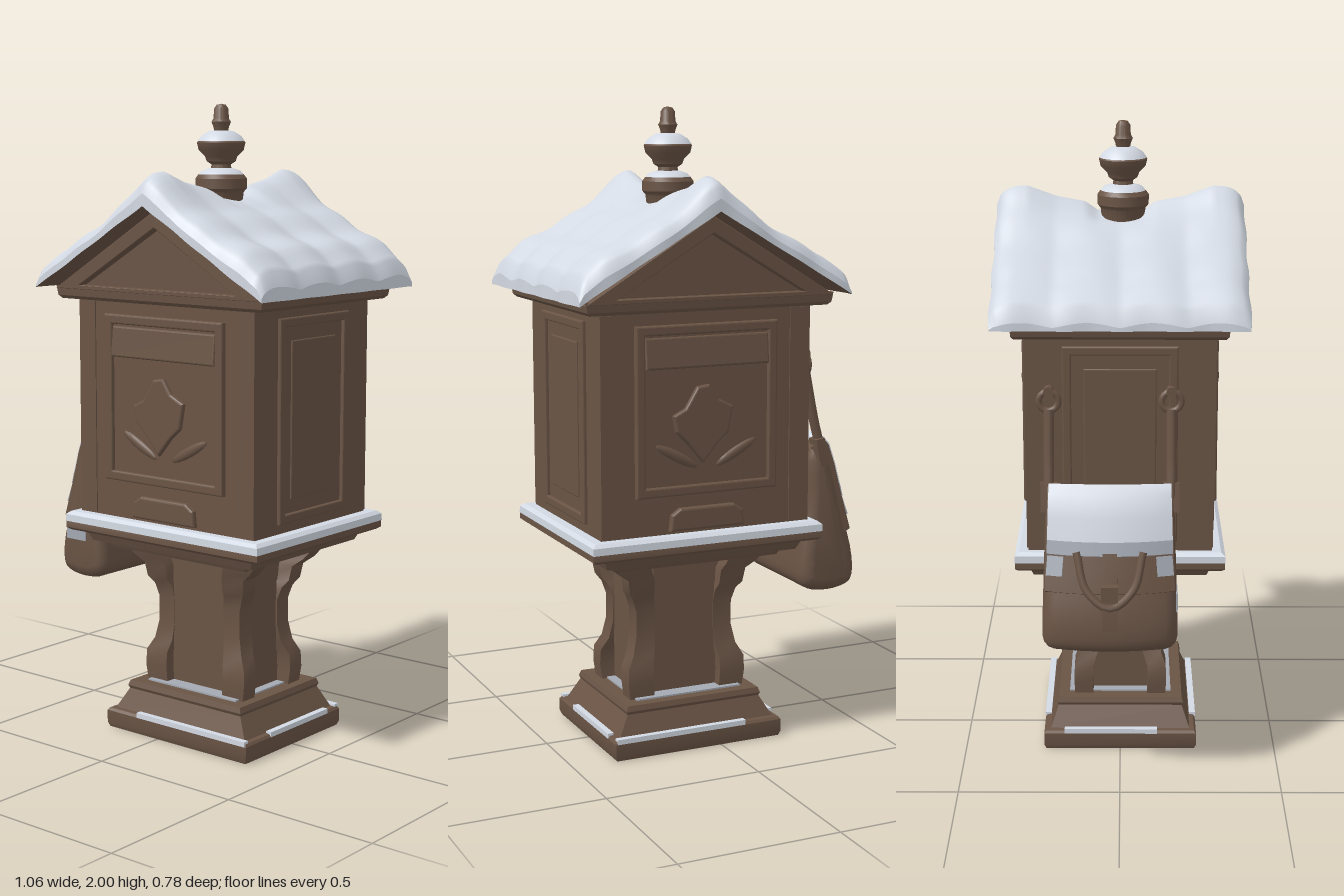
import * as THREE from 'three';
import { toCreasedNormals } from 'three/addons/utils/BufferGeometryUtils.js';

const mat = (name, color) => new THREE.MeshStandardMaterial({ name, color });
const V2 = (p) => new THREE.Vector2(...p);

// Piecewise-linear lookup
function lookup(xs, ys, x) {
  let i = 1;
  while (i < xs.length - 1 && x > xs[i]) i++;
  const t = Math.min(1, (x - xs[i - 1]) / (xs[i] - xs[i - 1]));
  return ys[i - 1] + t * (ys[i] - ys[i - 1]);
}

// Loft through rectangles given as [y, halfX, halfZ, centreX, centreZ]
function rectLoft(sections) {
  const pos = [], idx = [];
  const corners = [[1, 1], [1, -1], [-1, -1], [-1, 1]];
  sections.forEach(([y, hx, hz, cx = 0, cz = 0], s) => {
    corners.forEach(([sx, sz], k) => {
      pos.push(cx + sx * hx, y, cz + sz * hz);
      if (s === 0) return;
      const a = (s - 1) * 4 + k, b = (s - 1) * 4 + ((k + 1) % 4);
      idx.push(a, b, b + 4, a, b + 4, a + 4);
    });
  });
  const g = new THREE.BufferGeometry();
  g.setAttribute('position', new THREE.Float32BufferAttribute(pos, 3));
  g.setIndex(idx);
  return toCreasedNormals(g, 0.5);
}

function extrude(points, depth, bevel = 0, hole = null, steps = 1) {
  const shape = new THREE.Shape(points.map(V2));
  if (hole) shape.holes.push(new THREE.Path(hole.map(V2)));
  return new THREE.ExtrudeGeometry(shape, {
    depth, steps, bevelEnabled: bevel > 0, bevelSize: bevel, bevelThickness: bevel, bevelOffset: -bevel, bevelSegments: 3,
  });
}

// Centre a satchel piece on z, bow its outer face and narrow it upwards
function bow(geo, depth) {
  geo.translate(0, 0, -depth / 2);
  const p = geo.attributes.position;
  for (let i = 0; i < p.count; i++) {
    const x = p.getX(i), z = p.getZ(i);
    p.setX(i, x + 0.8 * z * z * THREE.MathUtils.clamp((-0.33 - x) / 0.15, 0, 1));
    p.setZ(i, z * (1.02 - 0.15 * Math.max(0, p.getY(i) - 0.55)));
  }
  return toCreasedNormals(geo, 0.7);
}

const rect = (w, h) => [[-w / 2, -h / 2], [w / 2, -h / 2], [w / 2, h / 2], [-w / 2, h / 2]];

export function createModel() {
  const wood = mat('brown wood', 0x6a5445);
  const snow = mat('snow', 0xd3d9e3);
  const frost = mat('frost', 0xa3a8b2);

  const model = new THREE.Group();
  model.name = 'snowyPostBox';
  const box = new THREE.Group();
  box.name = 'postBox';
  box.position.x = 0.077;
  model.add(box);

  const add = (parent, name, geo, material, x = 0, y = 0, z = 0) => {
    const m = new THREE.Mesh(geo, material);
    m.name = name;
    m.position.set(x, y, z);
    parent.add(m);
    return m;
  };
  const block = (parent, name, w, h, d, material, x, y, z) =>
    add(parent, name, new THREE.BoxGeometry(w, h, d), material, x, y, z);

  // Hollow plinth with snow on its step and foot, frost inside
  add(box, 'plinth', rectLoft([
    [0.14, 0, 0], [0.14, 0.185, 0.15], [0.07, 0.235, 0.195], [0.01, 0.235, 0.195], [0.005, 0.28, 0.24], [0.02, 0.286, 0.246],
    [0.06, 0.286, 0.246], [0.068, 0.28, 0.24], [0.07, 0.265, 0.225], [0.135, 0.228, 0.2],
    [0.145, 0.232, 0.205], [0.162, 0.226, 0.2], [0.162, 0, 0],
  ]), wood);
  for (const s of [-1, 1]) {
    block(box, 'stepSnow', 0.44, 0.016, 0.02, snow, 0.06, 0.068, s * 0.237);
    block(box, 'stepSnow', 0.02, 0.016, 0.3, snow, s * 0.277, 0.068, -0.03);
    block(box, 'innerFrost', 0.3, 0.035, 0.004, frost, -0.03, 0.045, s * 0.194);
    block(box, 'innerFrost', 0.004, 0.035, 0.25, frost, s * 0.234, 0.045, 0.03);
  }
  block(box, 'plinthTopFrost', 0.36, 0.006, 0.33, frost, 0, 0.164, 0);

  // Pedestal shaft with raised panels
  block(box, 'shaft', 0.3, 0.47, 0.23, wood, 0, 0.39, 0);
  block(box, 'shaftPanel', 0.21, 0.4, 0.25, wood, 0, 0.38, 0);
  block(box, 'shaftPanel', 0.32, 0.4, 0.14, wood, 0, 0.38, 0);

  // Scrolled corner brackets: [y, outer x, outer z]
  const scroll = [[0.16, 0.195, 0.147], [0.21, 0.202, 0.15], [0.26, 0.2, 0.148], [0.3, 0.178, 0.133], [0.36, 0.165, 0.126],
    [0.44, 0.165, 0.126], [0.48, 0.178, 0.132], [0.505, 0.195, 0.148], [0.55, 0.202, 0.155], [0.575, 0.235, 0.168], [0.62, 0.275, 0.178]];
  for (const sx of [-1, 1]) for (const sz of [-1, 1]) {
    add(box, 'cornerBracket', rectLoft(scroll.map(([y, ox, oz]) => {
      const hx = 0.032 + (ox - 0.165) * 0.3;
      return [y, hx, 0.03, sx * (ox - hx), sz * (oz - 0.03)];
    })), wood);
  }

  // Platform under the cabinet
  add(box, 'platform', rectLoft([
    [0.605, 0, 0], [0.605, 0.27, 0.235], [0.625, 0.285, 0.245], [0.625, 0.32, 0.27], [0.655, 0.334, 0.283],
    [0.66, 0.375, 0.315], [0.668, 0.386, 0.324], [0.692, 0.386, 0.324], [0.7, 0.38, 0.32], [0.7, 0, 0],
  ]), wood);
  add(box, 'platformSnow', rectLoft([
    [0.688, 0.387, 0.326], [0.71, 0.386, 0.325], [0.72, 0.374, 0.312], [0.722, 0, 0],
  ]), snow);

  // Cabinet
  block(box, 'cabinet', 0.7, 0.7, 0.568, wood, -0.005, 1.06, 0);

  // Gable fronts: door, awning, relief and lower lip
  const relief = [[-0.1, 0.03], [-0.06, 0.05], [-0.02, 0.115], [0.02, 0.12], [0.05, 0.075], [0.1, 0.05],
    [0.085, -0.03], [0.05, -0.06], [0, -0.12], [-0.05, -0.06], [-0.09, -0.02]];
  const lip = [[-0.125, -0.03], [0.125, -0.03], [0.12, 0.02], [0.09, 0.04], [-0.09, 0.04], [-0.12, 0.02]];
  for (const turn of [0, Math.PI]) {
    const face = new THREE.Group();
    face.name = turn ? 'backFace' : 'frontFace';
    face.rotation.y = turn;
    box.add(face);
    add(face, 'doorFrame', extrude(rect(0.47, 0.52), 0.022, 0.006, rect(0.41, 0.46)), wood, 0, 1.1, 0.274);
    block(face, 'doorPanel', 0.42, 0.47, 0.01, wood, 0, 1.1, 0.284);
    const awning = add(face, 'doorAwning', extrude(rect(0.41, 0.095), 0.012, 0.006), wood, 0, 1.275, 0.284);
    awning.rotation.x = -0.1;
    add(face, 'doorRelief', extrude(relief, 0.01, 0.008), wood, -0.015, 1.055, 0.286);
    for (const s of [-1, 1]) {
      const leaf = add(face, 'reliefLeaf', new THREE.SphereGeometry(1, 12, 8), wood, s * 0.1, 0.96, 0.288);
      leaf.scale.set(0.08, 0.016, 0.01);
      leaf.rotation.z = s * 0.5;
    }
    add(face, 'lowerLip', extrude(lip, 0.016, 0.008), wood, 0, 0.76, 0.278);
    for (const s of [-1, 1]) block(face, 'cornerStile', 0.06, 0.67, 0.008, wood, s * 0.315, 1.06, 0.284);
  }

  // Side walls: framed panels
  for (const s of [-1, 1]) {
    const side = new THREE.Group();
    side.name = s > 0 ? 'leftSide' : 'rightSide';
    side.rotation.y = s * Math.PI / 2;
    side.position.x = -0.005;
    box.add(side);
    add(side, 'sideFrame', extrude(rect(0.35, 0.62), 0.012, 0.005, rect(0.295, 0.565)), wood, 0, 1.06, 0.345);
    add(side, 'sidePanel', extrude(rect(0.22, 0.48), 0.006, 0.004), wood, 0, 1.06, 0.345);
  }

  // Cornice and gabled wooden roof
  add(box, 'cornice', rectLoft([
    [1.396, 0.34, 0.28], [1.4, 0.392, 0.316], [1.41, 0.403, 0.324], [1.44, 0.408, 0.327], [1.44, 0, 0],
  ]), wood, -0.005);
  add(box, 'roofCore', extrude([[-0.39, 1.43], [0.39, 1.43], [0, 1.66]], 0.59), wood, -0.005, 0, -0.295);
  add(box, 'gableFrame', extrude([[-0.41, 1.432], [0.41, 1.432], [0, 1.682]], 0.65, 0.004,
    [[-0.31, 1.445], [0, 1.63], [0.31, 1.445]]), wood, -0.005, 0, -0.325);

  // Snow blanket, sagging round the finial, folded down the slopes and rounded at the gables
  const blanket = new THREE.BoxGeometry(0.892, 1, 0.772, 56, 1, 64);
  const p = blanket.attributes.position;
  for (let i = 0; i < p.count; i++) {
    const x = p.getX(i), z = p.getZ(i), d = Math.abs(x), az = Math.abs(z);
    const under = 1.697 - 0.585 * d;
    let y = under;
    if (p.getY(i) > 0) {
      const fold = 0.016 * Math.sqrt(Math.sin(Math.PI * z / 0.2) ** 2 + 0.02) - 0.006;
      const ridge = lookup([0, 0.07, 0.11, 0.2, 0.29, 0.39], [1.715, 1.72, 1.748, 1.765, 1.797, 1.79], az);
      const top = lookup([0, 0.1, 0.26, 0.365, 0.43, 0.446], [1.735, 1.7, 1.613, 1.565, 1.515, 1.47], d)
        + fold * Math.min(1, d * 4) + (ridge - 1.735) * Math.exp(-((d / 0.085) ** 2))
        - (x < 0 ? 0.05 * d : 0) + 0.004 * Math.sin(x * 40);
      const edge = THREE.MathUtils.clamp((az - 0.32) / 0.066, 0, 1);
      y = under + (top - under) * (0.4 + 0.6 * Math.sqrt(1 - edge * edge));
    }
    const wobble = 1 + 0.006 * Math.sin(z * 37 + x * 11);
    p.setXYZ(i, x * wobble, y, z * (1 + 0.006 * Math.sin(x * 43)));
  }
  blanket.computeVertexNormals();
  add(box, 'roofSnow', blanket, [snow, snow, snow, wood, snow, snow]);

  // Turned finial with snow caps
  const lathe = (name, pts, material) => add(box, name,
    toCreasedNormals(new THREE.LatheGeometry(pts.map(V2), 28), 0.6), material, -0.007, 0, 0.008);
  lathe('finialCollar', [[0, 1.68], [0.065, 1.68], [0.07, 1.73], [0.08, 1.742], [0.08, 1.772], [0.07, 1.785]], wood);
  lathe('collarSnow', [[0.073, 1.781], [0.06, 1.796], [0.035, 1.804], [0, 1.806]], snow);
  lathe('finialCup', [[0.034, 1.79], [0.03, 1.815], [0.045, 1.825], [0.05, 1.84], [0.07, 1.86], [0.075, 1.882], [0.07, 1.889]], wood);
  lathe('cupSnow', [[0.073, 1.886], [0.062, 1.902], [0.038, 1.917], [0, 1.922]], snow);
  lathe('finialTip', [[0.02, 1.91], [0.024, 1.93], [0.03, 1.945], [0.024, 1.955], [0.022, 1.985], [0.014, 1.997], [0, 2]], wood);

  // Satchel hanging on the right wall
  const bag = new THREE.Group();
  bag.name = 'satchel';
  bag.position.z = -0.03;
  model.add(bag);
  const outline = [[-0.335, 0.92], [-0.375, 0.95], [-0.42, 0.88], [-0.47, 0.72], [-0.512, 0.56], [-0.505, 0.485], [-0.46, 0.464],
    [-0.34, 0.464], [-0.3, 0.49], [-0.297, 0.56], [-0.325, 0.75]];
  const loop = new THREE.CatmullRomCurve3(outline.map(([x, y]) => new THREE.Vector3(x, y, 0)), true);
  const section = loop.getPoints(44).slice(0, -1).map((v) => [v.x, v.y]);
  add(bag, 'bagBody', bow(extrude(section, 0.33, 0.036, null, 8), 0.33), wood);

  // Flap bands follow the outer curve of the bag
  const band = (name, pts, width, material, thick = 0.03) => {
    const back = pts.map(([x, y]) => [x + thick, y - thick * 0.5]).reverse();
    return add(bag, name, bow(extrude([...pts, ...back], width, 0, null, 8), width), material);
  };
  band('flap', [[-0.35, 0.948], [-0.378, 0.962], [-0.403, 0.94], [-0.43, 0.875], [-0.463, 0.77], [-0.483, 0.71], [-0.497, 0.66]], 0.39, wood);
  band('flapSnow', [[-0.35, 0.954], [-0.379, 0.968], [-0.408, 0.942], [-0.435, 0.875], [-0.456, 0.81]], 0.385, snow, 0.006);
  band('flapFrost', [[-0.456, 0.81], [-0.468, 0.77]], 0.385, frost, 0.006);
  band('closingStrap', [[-0.47, 0.78], [-0.5, 0.69], [-0.52, 0.6], [-0.52, 0.55]], 0.045, wood);
  block(bag, 'buckle', 0.03, 0.05, 0.05, wood, -0.515, 0.67, 0);
  const carry = new THREE.CatmullRomCurve3([[-0.455, 0.78, -0.1], [-0.492, 0.67, -0.07], [-0.51, 0.62, 0],
    [-0.492, 0.67, 0.07], [-0.455, 0.78, 0.1]].map((v) => new THREE.Vector3(...v)));
  add(bag, 'strapLoop', new THREE.TubeGeometry(carry, 20, 0.012, 8), wood);

  // Frost patches on the bag's front end and flap corners
  block(bag, 'bagFrost', 0.085, 0.06, 0.006, frost, -0.41, 0.615, 0.202);
  for (const s of [-1, 1]) {
    const patch = block(bag, 'cornerFrost', 0.008, 0.06, 0.05, frost, -0.453, 0.735, s * 0.165);
    patch.rotation.set(0, s * 0.25, -0.32);
  }

  // Hanging straps and wall rings
  for (const s of [-1, 1]) {
    const z = s * 0.185;
    const ring = add(bag, 'wallRing', new THREE.TorusGeometry(0.03, 0.01, 8, 18), wood, -0.298, 1.205, z);
    ring.rotation.y = Math.PI / 2;
    const peg = add(bag, 'wallPeg', new THREE.CylinderGeometry(0.016, 0.016, 0.04, 12), wood, -0.292, 1.235, z);
    peg.rotation.z = Math.PI / 2;
    const hang = new THREE.CatmullRomCurve3([[-0.302, 1.18], [-0.318, 1.1], [-0.335, 1.02], [-0.355, 0.94], [-0.36, 0.88]]
      .map(([x, y]) => new THREE.Vector3(x, y, z)));
    add(bag, 'hangingStrap', new THREE.TubeGeometry(hang, 16, 0.016, 8), wood);
    const tab = block(bag, 'strapTab', 0.03, 0.09, 0.05, wood, -0.355, 0.92, z);
    tab.rotation.z = -0.2;
  }
  return model;
}
